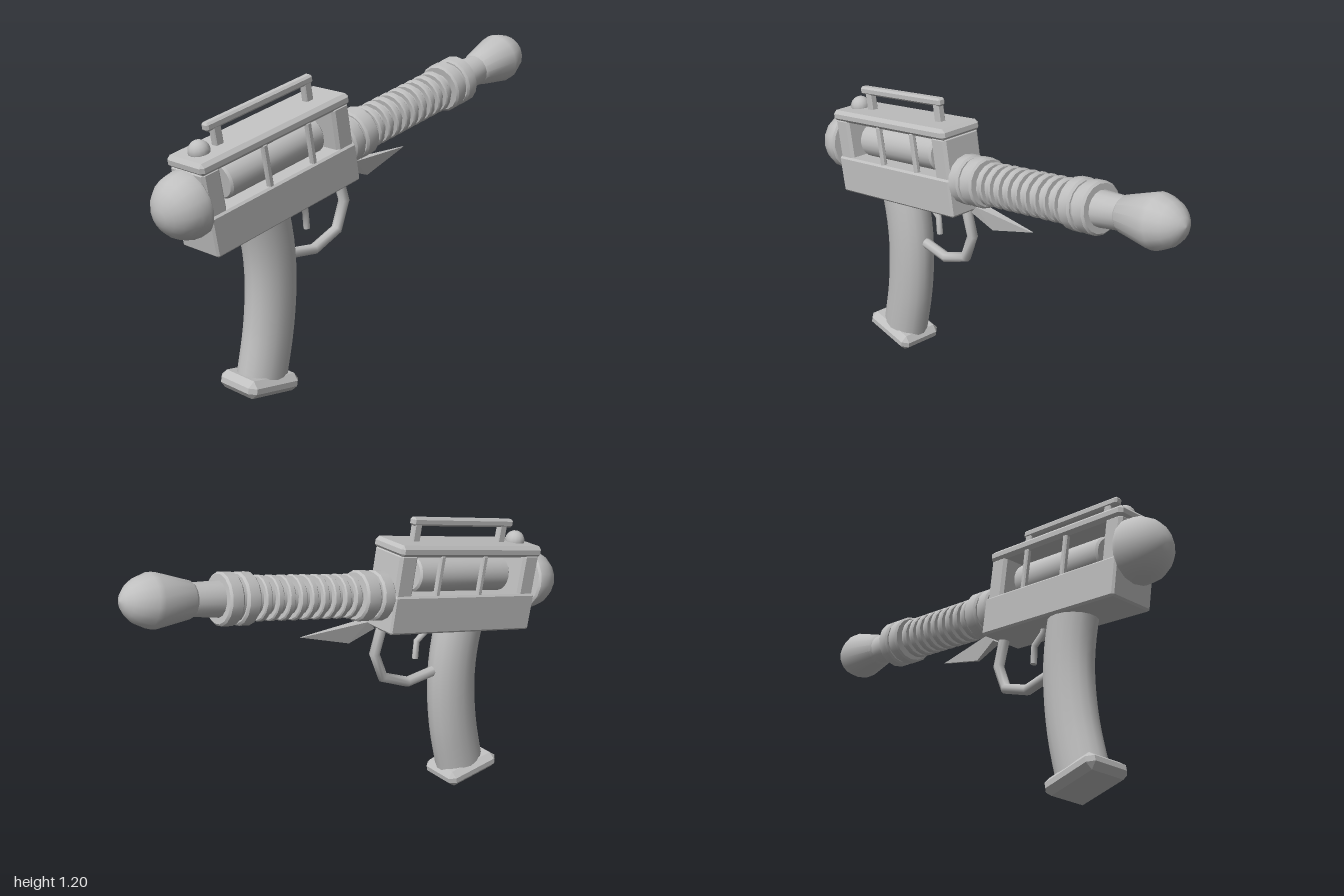
import * as THREE from 'three';
import { toCreasedNormals } from 'three/addons/utils/BufferGeometryUtils.js';
import { ConvexGeometry } from 'three/addons/geometries/ConvexGeometry.js';

const grey = new THREE.MeshStandardMaterial({ color: 0xbfbfbf });
grey.name = 'plain grey';

function add(parent, name, geometry, x = 0, y = 0, z = 0) {
  const mesh = new THREE.Mesh(geometry, grey);
  mesh.name = name;
  mesh.position.set(x, y, z);
  parent.add(mesh);
  return mesh;
}

// Box with every edge chamfered by c
function chamferBox(w, h, d, c) {
  const pts = [];
  for (const i of [-1, 1]) for (const j of [-1, 1]) for (const k of [-1, 1]) {
    const x = w / 2, y = h / 2, z = d / 2;
    pts.push(new THREE.Vector3(i * x, j * (y - c), k * (z - c)));
    pts.push(new THREE.Vector3(i * (x - c), j * y, k * (z - c)));
    pts.push(new THREE.Vector3(i * (x - c), j * (y - c), k * z));
  }
  return new ConvexGeometry(pts);
}

// Chamfered box given by its extents along and across the gun axis
function slab(parent, name, u0, u1, v0, v1, depth, c, z = 0) {
  return add(parent, name, chamferBox(u1 - u0, v1 - v0, depth, c), (u0 + u1) / 2, (v0 + v1) / 2, z);
}

// Profile of [distance, radius] pairs turned about the local x axis
function turned(profile, sides = 16) {
  const g = new THREE.LatheGeometry(profile.map(([u, r]) => new THREE.Vector2(r, u)), sides);
  g.rotateZ(-Math.PI / 2);
  return toCreasedNormals(g, 0.5);
}

const disc = (u0, u1, r, b = 0.008) => [[u0, 0], [u0, r - b], [u0 + b, r], [u1 - b, r], [u1, r - b], [u1, 0]];

// Bent rod with one ring at each given point and closed ends
function rod(parent, name, points, radius, sides) {
  const path = new THREE.CatmullRomCurve3(points.map(([x, y]) => new THREE.Vector3(x, y, 0)));
  path.getPointAt = t => path.getPoint(t);
  path.getTangentAt = t => path.getTangent(t);
  const mesh = add(parent, name, new THREE.TubeGeometry(path, points.length - 1, radius, sides));
  for (const t of [0, 1]) {
    const cap = add(parent, name + 'End', new THREE.CircleGeometry(radius, sides));
    const dir = path.getTangent(t).multiplyScalar(t ? 1 : -1);
    cap.position.copy(path.getPoint(t));
    cap.quaternion.setFromUnitVectors(new THREE.Vector3(0, 0, 1), dir);
  }
  return mesh;
}

export function createModel() {
  const model = new THREE.Group();
  model.name = 'rayGun';

  // Everything along the raised barrel axis
  const upper = new THREE.Group();
  upper.name = 'tiltedUpper';
  upper.position.y = 0.932;
  upper.rotation.z = THREE.MathUtils.degToRad(10);
  model.add(upper);

  // Open frame body
  slab(upper, 'lowerBody', -0.852, -0.115, -0.138, 0.018, 0.195, 0.008);
  slab(upper, 'upperBody', -0.855, -0.112, 0.173, 0.22, 0.195, 0.014);
  slab(upper, 'rearPost', -0.85, -0.765, 0.0, 0.185, 0.18, 0.012);
  slab(upper, 'frontPost', -0.205, -0.117, 0.0, 0.185, 0.18, 0.012);
  add(upper, 'innerCanister', turned(disc(-0.717, -0.245, 0.072), 20), 0, 0.086);
  for (const u of [-0.552, -0.33]) for (const z of [-0.08, 0.08])
    slab(upper, 'sideBar', u - 0.012, u + 0.012, 0.01, 0.18, 0.022, 0.005, z);

  // Rear dome
  const dome = [[-0.13, 0]];
  for (let i = 1; i <= 6; i++) {
    const a = i * Math.PI / 12;
    dome.push([-0.13 * Math.cos(a), 0.126 * Math.sin(a)]);
  }
  dome.push([0.015, 0.124], [0.022, 0.115], [0.022, 0]);
  add(upper, 'rearDome', turned(dome), -0.869, 0.06);

  // Top knob and rail
  add(upper, 'topKnob', new THREE.SphereGeometry(0.041, 14, 10), -0.776, 0.226);
  slab(upper, 'topRail', -0.738, -0.212, 0.282, 0.315, 0.036, 0.008);
  for (const u of [-0.69, -0.24])
    slab(upper, 'railPost', u - 0.018, u + 0.018, 0.21, 0.292, 0.03, 0.004);

  // Barrel with collars and cooling ribs
  add(upper, 'barrelCore', turned([[-0.13, 0], [-0.13, 0.065], [0.62, 0.065], [0.62, 0]]));
  for (const [u0, u1] of [[-0.118, -0.06], [-0.05, 0.018], [0.495, 0.553], [0.566, 0.626]])
    add(upper, 'collar', turned(disc(u0, u1, 0.1)));
  for (const [u0, u1] of [[-0.07, -0.04], [0.54, 0.58]])
    add(upper, 'collarJoint', turned(disc(u0, u1, 0.086, 0.001)));
  for (let i = 0; i < 9; i++) {
    const u = 0.05 + i * 0.0505;
    add(upper, 'coolingRib', turned(disc(u - 0.014, u + 0.014, 0.087, 0.005)));
  }

  // Muzzle neck, flare and rounded tip
  add(upper, 'muzzle', turned([[0.61, 0], [0.61, 0.069], [0.735, 0.062], [0.745, 0.07], [0.885, 0.102],
    [0.908, 0.1], [0.96, 0.079], [0.985, 0.058], [1.004, 0.033], [1.015, 0]]));

  // Fin under the barrel
  const fin = [];
  for (const s of [-1, 1])
    for (const [x, y, z] of [[-0.07, 0.787, 0.018], [-0.035, 0.822, 0.022], [0.045, 0.745, 0.006], [0.265, 0.816, 0.003]])
      fin.push(new THREE.Vector3(x, y, s * z));
  add(model, 'lowerFin', new ConvexGeometry(fin));

  // Curved grip, oval in section
  const gripPath = new THREE.CatmullRomCurve3([[-0.545, 0.8], [-0.513, 0.706], [-0.487, 0.572], [-0.481, 0.438],
    [-0.497, 0.262], [-0.54, 0.06]].map(([x, y]) => new THREE.Vector3(x, y, 0)));
  const grip = add(model, 'grip', new THREE.TubeGeometry(gripPath, 14, 0.108, 18));
  grip.scale.z = 0.8;
  const butt = add(model, 'gripBase', chamferBox(0.258, 0.07, 0.2, 0.024), -0.55, 0.057);
  butt.rotation.z = THREE.MathUtils.degToRad(-10);

  // Trigger and its guard
  rod(model, 'triggerGuard', [[-0.4, 0.53], [-0.25, 0.51], [-0.125, 0.56], [-0.083, 0.67], [-0.125, 0.8]], 0.022, 8);
  rod(model, 'trigger', [[-0.36, 0.75], [-0.345, 0.715], [-0.295, 0.68], [-0.288, 0.605]], 0.013, 8);

  return model;
}
